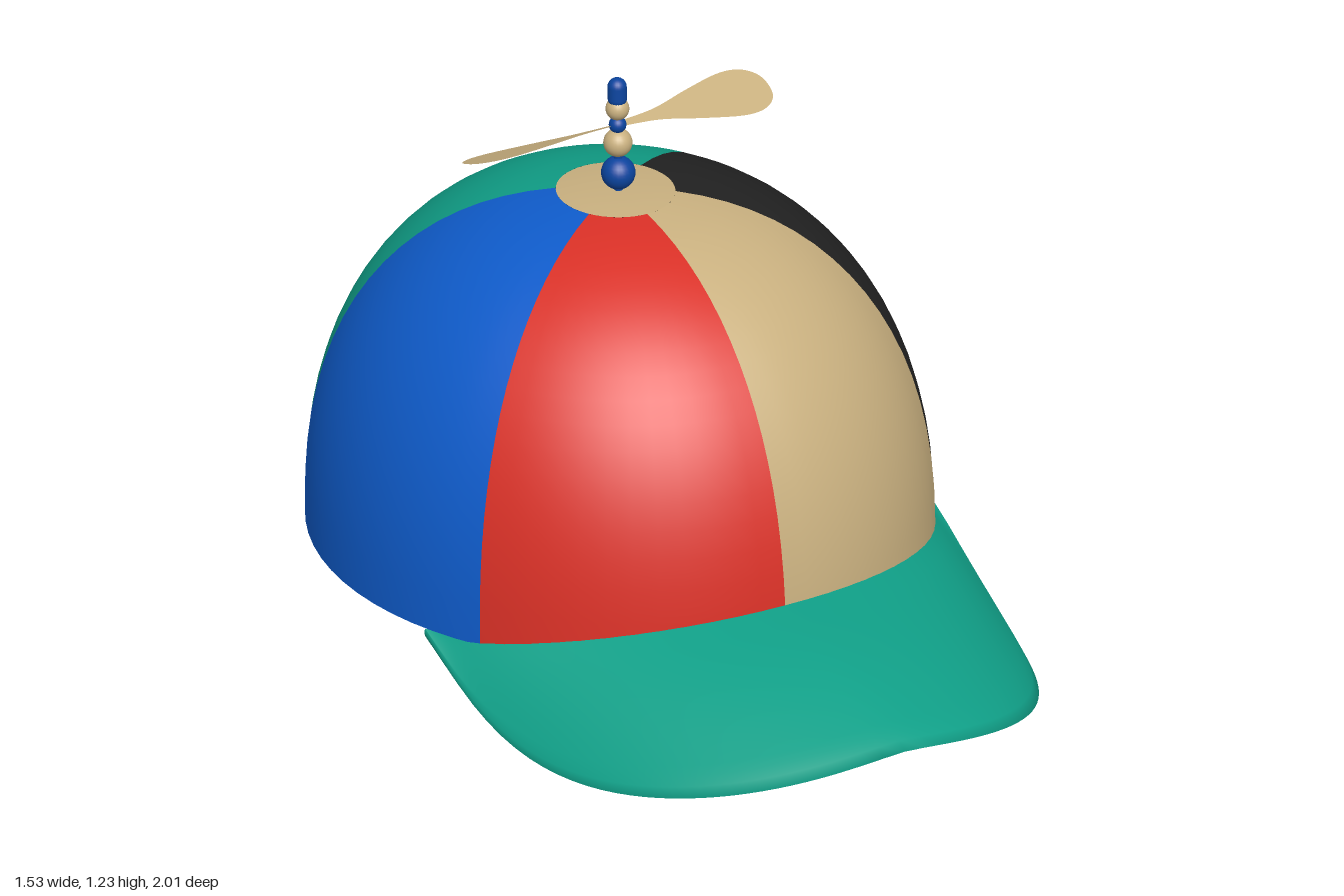
import * as THREE from 'three';

const mat = (name, color, side = THREE.FrontSide) => {
  const m = new THREE.MeshStandardMaterial({ color, side });
  m.name = name;
  return m;
};
const LENGTH = 0.752, WIDTH = 0.693, HEIGHT = 0.83; // crown half length, half width, height
const POWER = 2 / 2.35;                             // squareness of the crown profile
const CAP_TAU = 1.428;                              // where the top disc begins
const rad = THREE.MathUtils.degToRad;

// Grid surface from a rule; its front side is du x dv
function surface(nu, nv, rule) {
  const pos = [], idx = [];
  for (let j = 0; j <= nv; j++)
    for (let i = 0; i <= nu; i++) pos.push(...rule(i / nu, j / nv));
  for (let j = 0; j < nv; j++)
    for (let i = 0; i < nu; i++) {
      const a = j * (nu + 1) + i, c = a + nu + 1;
      idx.push(a, a + 1, c, a + 1, c + 1, c);
    }
  const g = new THREE.BufferGeometry();
  g.setAttribute('position', new THREE.Float32BufferAttribute(pos, 3));
  g.setIndex(idx);
  g.computeVertexNormals();
  return g;
}

// Point on the crown: angle from the front, tau from rim (0) to apex (PI/2)
function crown(angle, tau, scale = 1) {
  const r = scale * Math.pow(Math.max(0, Math.cos(tau)), POWER);
  return [WIDTH * r * Math.sin(angle), scale * HEIGHT * Math.pow(Math.sin(tau), POWER), LENGTH * r * Math.cos(angle)];
}

// Point on the brim: s across (-1..1), q from crown to outer edge
function brim(s, q, drop) {
  const phi = s * rad(69), psi = s * Math.PI / 2, k = Math.abs(s), e = 2 / 2.4;
  const inner = [0.985 * WIDTH * Math.sin(phi), 0.1 * Math.pow(1 - k * k, 1.5), 0.985 * LENGTH * Math.cos(phi)];
  const outer = [
    0.655 * Math.sign(s) * Math.pow(Math.abs(Math.sin(psi)), e),
    -(0.03 + 0.24 * Math.pow(k, 1.2)) * (1 - Math.pow(k, 5)),
    0.26 + 1.03 * Math.pow(Math.max(0, Math.cos(psi)), e),
  ];
  const p = inner.map((v, i) => v + (outer[i] - v) * q);
  p[1] += 0.02 * Math.sin(Math.PI * q) * (1 - k * k) - drop;
  return p;
}

export function createModel() {
  const red = mat('red', 0xd93026), blue = mat('blue', 0x0f5ccc), green = mat('teal green', 0x10a088);
  const black = mat('black', 0x222222), tan = mat('tan', 0xcab180), navy = mat('dark blue', 0x0b449e);
  const blade = mat('blade tan', 0xcab180, THREE.DoubleSide);

  const model = new THREE.Group();
  model.name = 'propellerCap';
  const cap = new THREE.Group();
  cap.name = 'cap';
  cap.position.set(-0.07, 0.13, -0.255);
  cap.rotation.set(-0.073, rad(20), 0);
  model.add(cap);
  const add = (name, geometry, material, parent = cap) => {
    const m = new THREE.Mesh(geometry, material);
    m.name = name;
    parent.add(m);
    return m;
  };

  // Crown panels, each with a hem folded inside the rim
  const panels = [
    ['frontLeftPanel', 0, 58.2, tan], ['sideLeftPanel', 58.2, 123.3, black], ['backPanel', 123.3, 236.7, green],
    ['sideRightPanel', 236.7, 301.8, blue], ['frontRightPanel', 301.8, 360, red],
  ];
  for (const [name, from, to, material] of panels) {
    const angle = u => rad(from + (to - from) * u);
    const n = Math.round((to - from) / 5);
    add(name, surface(n, 18, (u, v) => crown(angle(u), v * CAP_TAU)), material);
    add(name + 'Hem', surface(n, 2, (u, v) => {
      const p = crown(angle(u), 0, v === 1 ? 1 : 0.974);
      if (v === 0) p[1] = 0.025;
      return p;
    }), material);
  }

  // Disc at the apex and dark lining
  add('topDisc', surface(48, 4, (u, v) => crown(u * Math.PI * 2, CAP_TAU + v * (Math.PI / 2 - CAP_TAU))), tan);
  add('lining', surface(64, 18, (u, v) => crown(-u * Math.PI * 2, v * Math.PI / 2, 0.98)), black);

  // Brim: upper skin, rounded edge and lower skin in one sweep
  add('brim', surface(64, 28, (u, v) =>
    brim(1 - 2 * u, Math.pow(1 - Math.abs(2 * v - 1), 0.7), 0.018 * THREE.MathUtils.smoothstep(v, 0.42, 0.58))), green);

  // Propeller stack of beads
  const propeller = new THREE.Group();
  propeller.name = 'propeller';
  propeller.position.z = 0.013;
  cap.add(propeller);
  const beads = [
    ['baseBead', 0.872, 0.039, navy], ['lowerBead', 0.947, 0.033, tan],
    ['hubBead', 0.992, 0.02, navy], ['upperBead', 1.032, 0.027, tan],
  ];
  for (const [name, y, r, material] of beads)
    add(name, new THREE.SphereGeometry(r, 24, 16), material, propeller).position.y = y;
  add('axle', new THREE.CylinderGeometry(0.01, 0.01, 0.24, 12), navy, propeller).position.y = 0.95;
  add('tipCap', new THREE.CapsuleGeometry(0.022, 0.028, 8, 20), navy, propeller).position.y = 1.072;

  // Two pitched teardrop blades
  const edge = [[0.1, 0.018], [0.2, 0.047], [0.29, 0.069], [0.345, 0.066], [0.38, 0.04]];
  const shape = new THREE.Shape();
  shape.moveTo(0, 0.008);
  shape.splineThru([...edge, [0.39, 0], ...edge.slice().reverse().map(([x, y]) => [x, -y]), [0, -0.008]]
    .map(([x, y]) => new THREE.Vector2(x, y)));
  const bladeGeo = new THREE.ShapeGeometry(shape, 8);
  bladeGeo.rotateX(-Math.PI / 2 + 0.36);
  for (const [name, turn] of [['leftBlade', 0], ['rightBlade', Math.PI]]) {
    const b = add(name, bladeGeo, blade, propeller);
    b.position.y = 0.992;
    b.rotation.y = turn;
  }
  return model;
}
